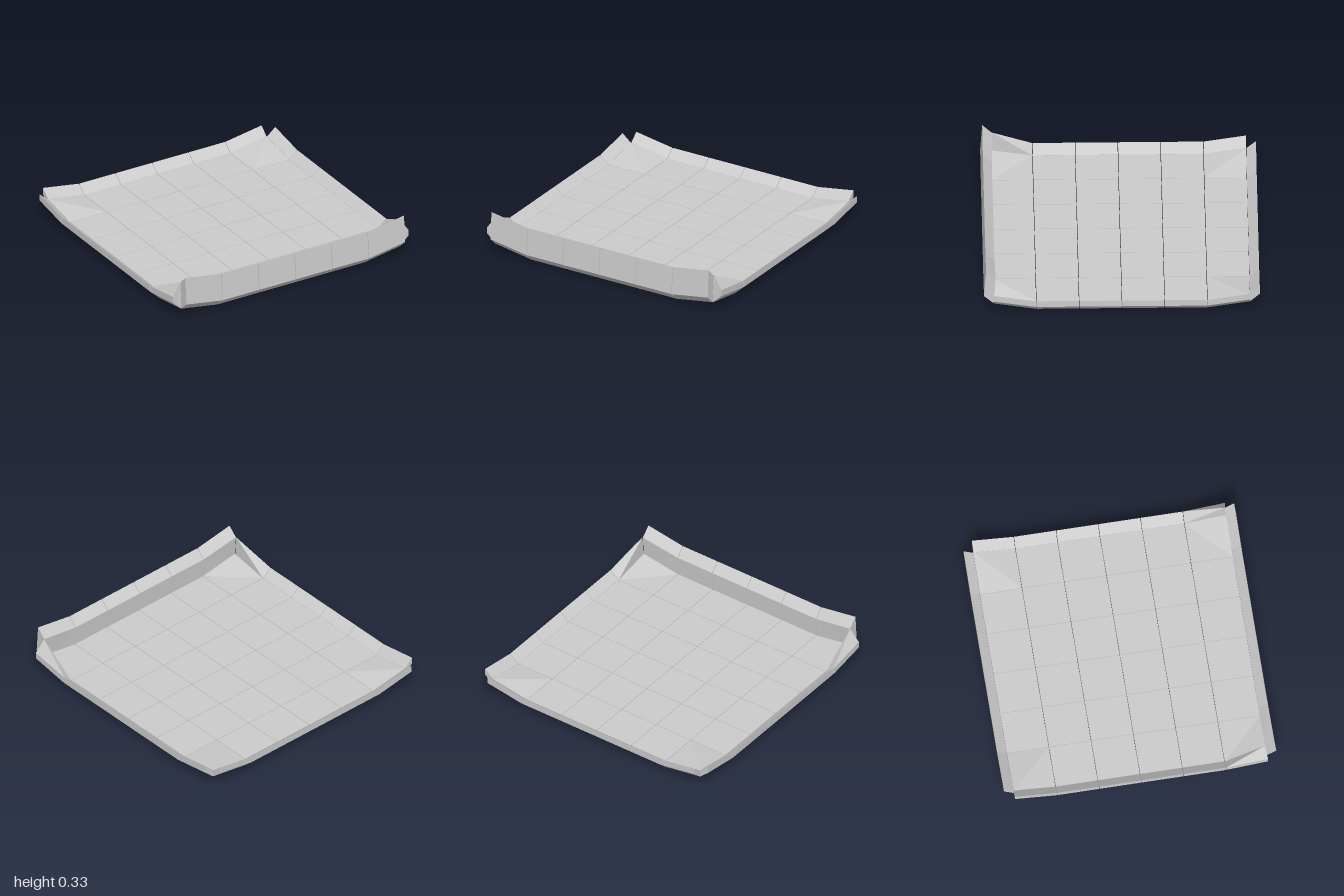
import * as THREE from 'three';

const EDGE = 0.93;    // where the flat tiles end and the lips begin
const STEP = 0.31;    // tile pitch
const GAP = 0.002;    // half of the seam between blocks
const THICK = 0.055;  // tile thickness
const LIFT = 0.05;    // how far the four corners bend upward

const lift = (x, z) => (Math.abs(x) > 0.9 && Math.abs(z) > 0.9 ? LIFT : 0);

// Six-sided block: corner(sx, sy, sz) gives the position of each box corner
function block(corner, mirror) {
  const geo = new THREE.BoxGeometry(2, 2, 2);
  const pos = geo.attributes.position;
  for (let i = 0; i < pos.count; i++) {
    const [x, y, z] = corner(pos.getX(i), pos.getY(i), pos.getZ(i));
    pos.setXYZ(i, mirror ? -x : x, y, z);
  }
  if (mirror) geo.index.array.reverse();
  const flat = geo.toNonIndexed();
  flat.computeVertexNormals();
  return flat;
}

export function createModel() {
  const root = new THREE.Group();
  root.name = 'tiledTray';
  const material = new THREE.MeshStandardMaterial({ color: 0xcccccc, flatShading: true });

  const groups = {};
  for (const name of ['floorTiles', 'sideLips', 'frontLip', 'backLip']) {
    groups[name] = new THREE.Group();
    groups[name].name = name;
    root.add(groups[name]);
  }
  const add = (group, name, corner) => {
    for (const mirror of [false, true]) {
      const mesh = new THREE.Mesh(block(corner, mirror), material);
      mesh.name = name + (mirror ? 'Right' : 'Left');
      groups[group].add(mesh);
    }
  };

  // Grid line beside a cell, and the same line pulled in by the seam
  const line = (i, s) => (s > 0 ? i + 1 : i) * STEP;

  // Floor tiles, with the outermost corners bent upward
  for (let i = 0; i < 3; i++) {
    for (let j = -3; j < 3; j++) {
      add('floorTiles', 'tile', (sx, sy, sz) => {
        const x = line(i, sx), z = line(j, sz);
        return [x - sx * GAP, (sy > 0 ? THICK : 0) + lift(x, z), z - sz * GAP];
      });
    }
  }

  // Side lips slope outward; their front inner corner rises to meet the front lip
  for (let j = -3; j < 3; j++) {
    add('sideLips', 'sideLipBlock', (sx, sy, sz) => {
      const z = line(j, sz), up = lift(EDGE, z), zz = z - sz * GAP;
      if (sx > 0) return [1, (sy > 0 ? 0.115 : 0.065) + up, zz];
      if (sy > 0 && z > 0.9) return [EDGE, 0.26, 0.915];
      return [EDGE, (sy > 0 ? THICK : 0) + up, zz];
    });
  }

  // Low back lip and tall front lip
  for (let i = 0; i < 3; i++) {
    add('backLip', 'backLipBlock', (sx, sy, sz) => {
      const x = line(i, sx), up = lift(x, EDGE), xx = x - sx * GAP;
      if (sz < 0) return [xx, (sy > 0 ? 0.115 : 0.065) + up, -1];
      return [xx, (sy > 0 ? THICK : 0) + up, -EDGE];
    });
    add('frontLip', 'frontLipBlock', (sx, sy, sz) => {
      const x = line(i, sx), up = lift(x, EDGE), xx = x - sx * GAP;
      if (sz > 0) return sy > 0 ? [xx, 0.277 + up, 0.985] : [xx, 0.065 + up, 1];
      return sy > 0 ? [xx, 0.21 + up, up ? 0.915 : 0.92] : [xx, up, EDGE];
    });
  }
  return root;
}
